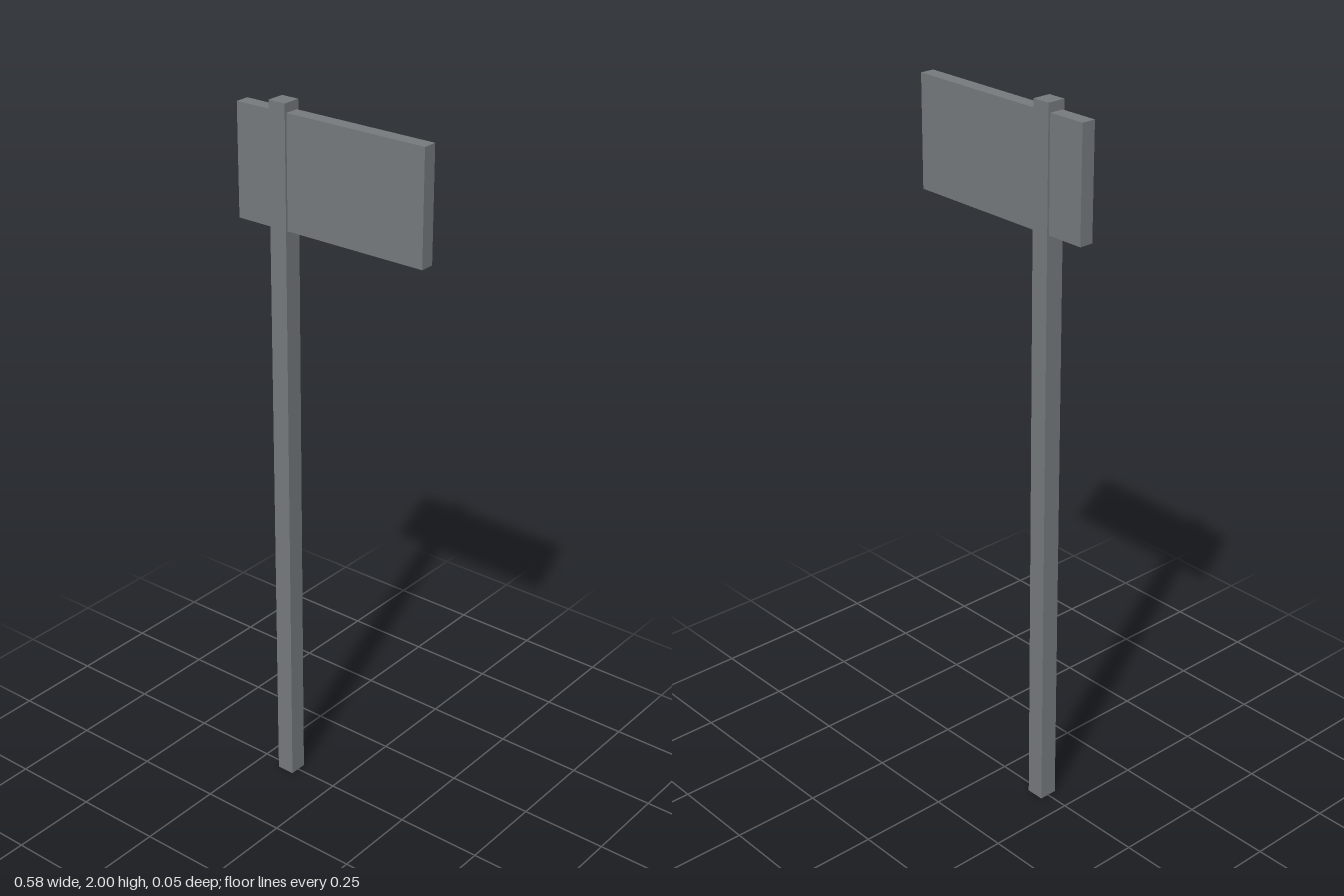
import * as THREE from 'three';

export function createModel() {
  const group = new THREE.Group();
  group.name = 'signpost';
  const greyMetal = new THREE.MeshStandardMaterial({ color: 0x75797c });
  greyMetal.name = 'greyMetal';

  const addBox = (name, size, position) => {
    const mesh = new THREE.Mesh(new THREE.BoxGeometry(...size), greyMetal);
    mesh.name = name;
    mesh.position.set(...position);
    group.add(mesh);
  };

  // Square post, standing off-centre
  addBox('post', [0.052, 2, 0.052], [-0.156, 1, 0]);
  // Sign board, slightly thinner than the post that passes through it
  addBox('signBoard', [0.582, 0.306, 0.04], [0, 1.822, 0]);

  return group;
}
